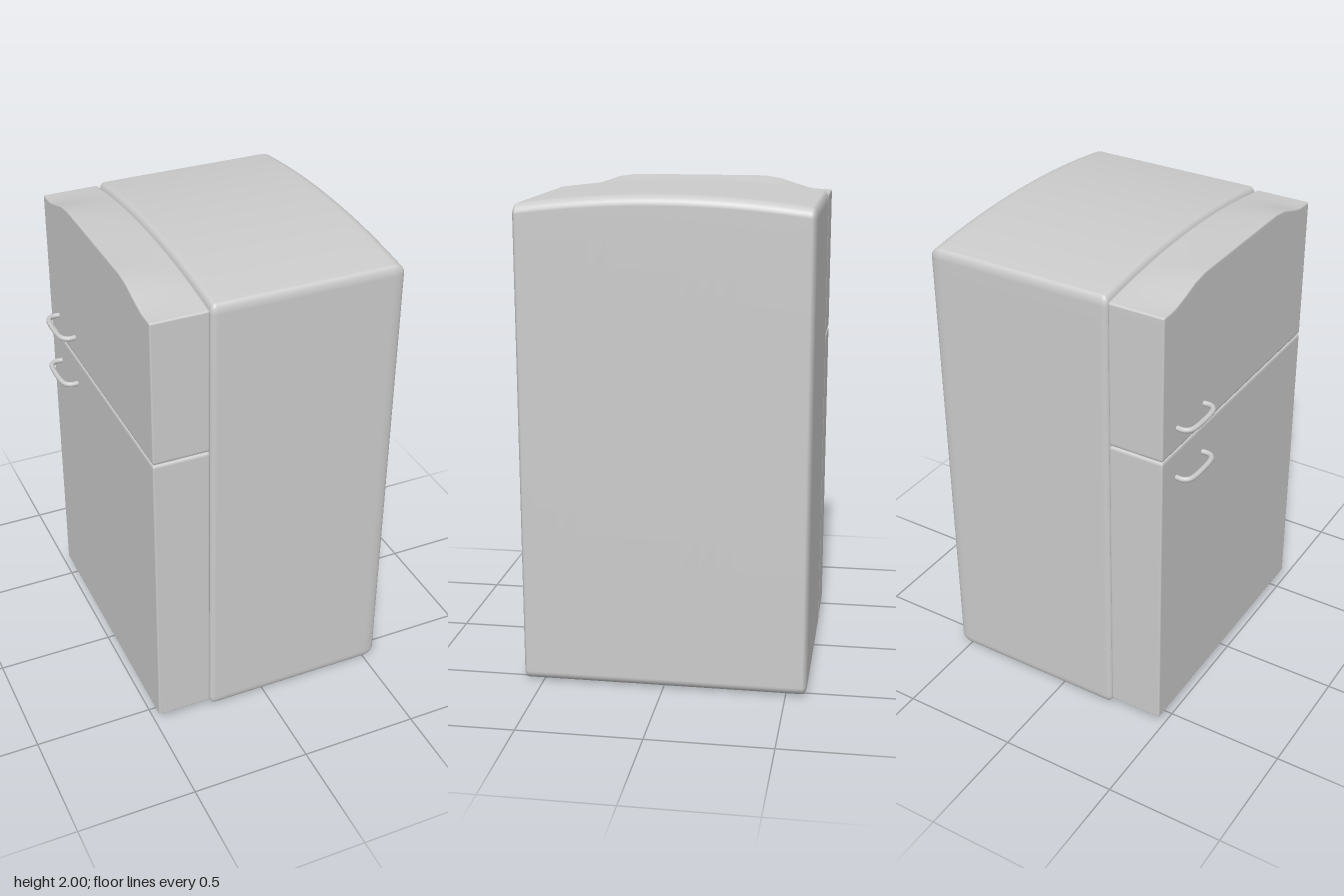
import * as THREE from 'three';
import { mergeVertices } from 'three/addons/utils/BufferGeometryUtils.js';

const material = new THREE.MeshStandardMaterial({ color: 0xcccccc });
const HALF_DEPTH = 0.585;
const CORNER = 4, MIDDLE = 16, SEGMENTS = 2 * CORNER + MIDDLE;

// Place grid line i between lo and hi, with the corner steps packed into radii a and b.
// Returns the inner (clamped) position and the offset towards the outside, -1 to 1.
function gridLine(i, lo, hi, a, b) {
  if (i < CORNER) return [lo + a, -(CORNER - i) / CORNER];
  if (i > SEGMENTS - CORNER) return [hi - b, (i - SEGMENTS + CORNER) / CORNER];
  return [THREE.MathUtils.lerp(lo + a, hi - b, (i - CORNER) / MIDDLE), 0];
}

// Block with softly rounded edges; radii are [low side, high side] per axis.
// lift(x, z) raises the upper end of the block.
function softBlock(lo, hi, radii, lift = () => 0) {
  let geometry = new THREE.BoxGeometry(1, 1, 1, SEGMENTS, SEGMENTS, SEGMENTS);
  const p = geometry.attributes.position;
  for (let v = 0; v < p.count; v++) {
    const inner = [], offset = new THREE.Vector3();
    for (let axis = 0; axis < 3; axis++) {
      const i = Math.round((p.getComponent(v, axis) + 0.5) * SEGMENTS);
      const [c, o] = gridLine(i, lo[axis], hi[axis], ...radii[axis]);
      inner.push(c);
      offset.setComponent(axis, o);
    }
    offset.normalize();
    const q = inner.map((c, axis) => {
      const o = offset.getComponent(axis);
      return c + o * radii[axis][o < 0 ? 0 : 1];
    });
    const height = (q[1] - lo[1]) / (hi[1] - lo[1]);
    p.setXYZ(v, q[0], q[1] + lift(q[0], q[2]) * height, q[2]);
  }
  geometry.deleteAttribute('uv');
  geometry.deleteAttribute('normal');
  geometry = mergeVertices(geometry, 1e-5);
  geometry.computeVertexNormals();
  return geometry;
}

function addPart(group, name, geometry) {
  const mesh = new THREE.Mesh(geometry, material);
  mesh.name = name;
  group.add(mesh);
  return mesh;
}

export function createModel() {
  const model = new THREE.Group();
  model.name = 'refrigerator';

  const arch = (z) => 1 - (z / HALF_DEPTH) ** 2;
  const hump = (z) => THREE.MathUtils.smoothstep(1 - Math.abs(z) / HALF_DEPTH, 0.08, 0.5);

  // Cabinet with a gently arched top
  addPart(model, 'cabinet', softBlock(
    [-0.247, 0, -HALF_DEPTH], [0.55, 1.955, HALF_DEPTH],
    [[0.025, 0.05], [0.04, 0.04], [0.02, 0.02]],
    (x, z) => 0.043 * arch(z)));

  // Doors; the upper one blends from the cabinet arch to a stronger hump outside
  const doorRadii = [[0.006, 0.012], [0.014, 0.008], [0.008, 0.008]];
  addPart(model, 'upperDoor', softBlock(
    [-0.485, 1.332, -HALF_DEPTH], [-0.25, 1.94, HALF_DEPTH], doorRadii,
    (x, z) => {
      const outward = THREE.MathUtils.clamp((-0.25 - x) / 0.235, 0, 1);
      return THREE.MathUtils.lerp(0.05 * arch(z), 0.058 * hump(z), outward);
    }));
  addPart(model, 'lowerDoor', softBlock(
    [-0.485, 0.04, -HALF_DEPTH], [-0.25, 1.328, HALF_DEPTH],
    [[0.006, 0.012], [0.006, 0.014], [0.008, 0.008]]));

  // Bowed handles, one on each door
  const path = new THREE.CatmullRomCurve3([
    [-0.475, -0.477], [-0.515, -0.477], [-0.536, -0.46], [-0.545, -0.375],
    [-0.536, -0.29], [-0.515, -0.272], [-0.475, -0.272],
  ].map(([x, z]) => new THREE.Vector3(x, 0, z)), false, 'centripetal');
  const handle = new THREE.TubeGeometry(path, 40, 0.011, 10);
  addPart(model, 'upperHandle', handle).position.y = 1.43;
  addPart(model, 'lowerHandle', handle).position.y = 1.207;

  return model;
}
